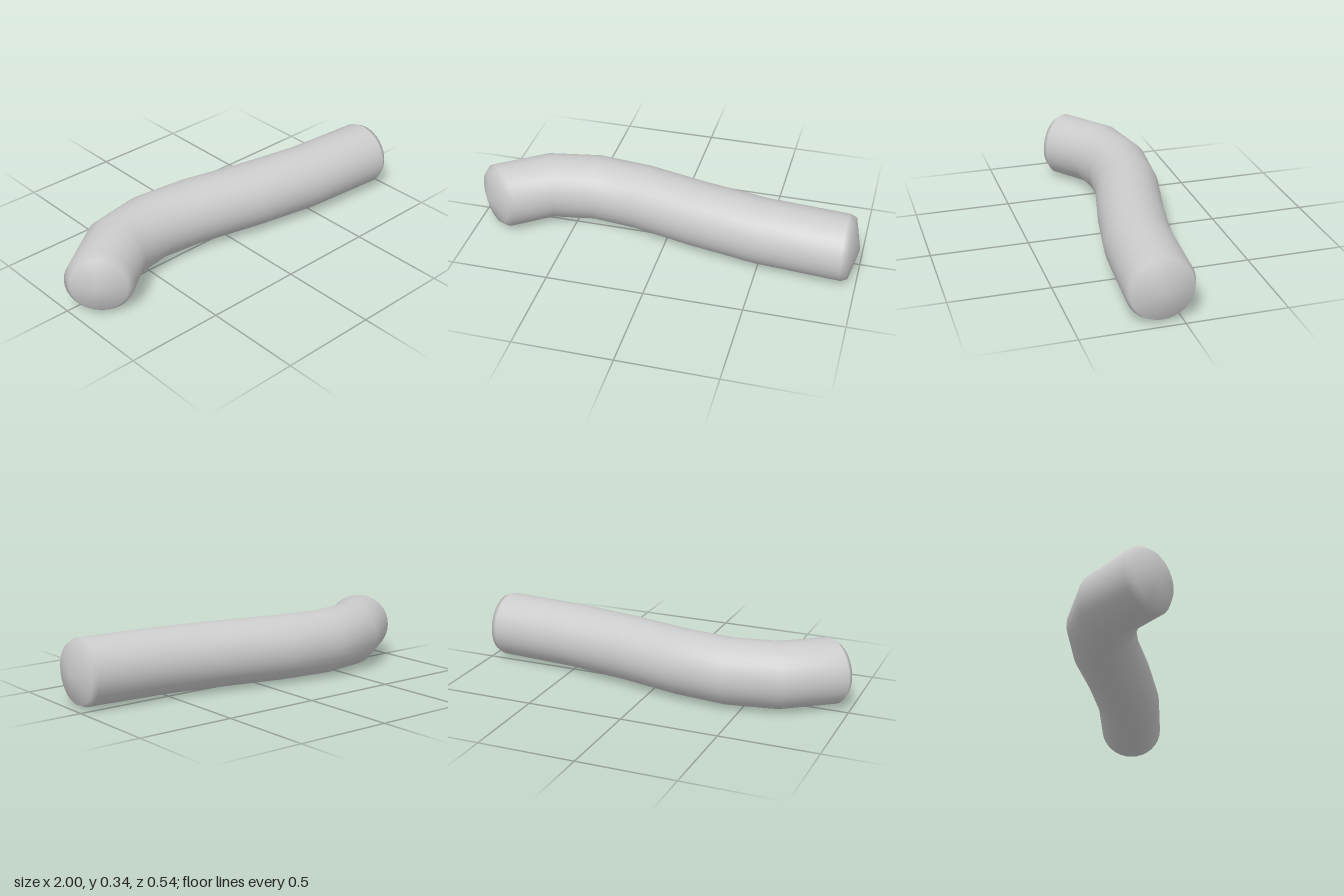
import * as THREE from 'three';

// Cross-sections along the bent rod: centre x, centre z, radius, yaw of the ring
const RINGS = [
  [-0.933, 0.155, 0, 0.81], // left cap tip
  [-0.9, 0.128, 0.14, 0.81], // left cap shoulder
  [-0.876, 0.103, 0.168, 0.81],
  [-0.655, -0.057, 0.168, 0.36],
  [-0.412, -0.1, 0.168, 0.05],
  [-0.152, -0.071, 0.168, -0.19],
  [0.163, 0.004, 0.168, -0.165],
  [0.503, 0.068, 0.168, -0.13],
  [0.928, 0.1, 0.168, -0.02],
  [0.96, 0.1, 0.154, -0.02], // right cap shoulder
  [1.0, 0.1, 0, -0.02], // right cap tip
];
const SIDES = 32;
const AXIS_Y = 0.168;

// Rings joined by quads, closed around the rod and drawn together at the tips
function rodGeometry() {
  const positions = [];
  const indices = [];
  for (const [x, z, r, yaw] of RINGS) {
    for (let i = 0; i < SIDES; i++) {
      const a = (i / SIDES) * Math.PI * 2;
      const across = Math.cos(a) * r;
      positions.push(x + across * Math.sin(yaw), AXIS_Y + Math.sin(a) * r, z + across * Math.cos(yaw));
    }
  }
  const last = RINGS.length - 2;
  for (let k = 0; k <= last; k++) {
    for (let i = 0; i < SIDES; i++) {
      const j = (i + 1) % SIDES;
      const a = k * SIDES + i, b = k * SIDES + j;
      const c = a + SIDES, d = b + SIDES;
      if (k < last) indices.push(a, c, b);
      if (k > 0) indices.push(b, c, d);
      // At the tips one triangle per side is enough
      if (k === 0) indices.splice(-3, 3, a, c, d);
      if (k === last) indices.splice(-3, 3, a, c, b);
    }
  }
  const geometry = new THREE.BufferGeometry();
  geometry.setAttribute('position', new THREE.Float32BufferAttribute(positions, 3));
  geometry.setIndex(indices);
  geometry.computeVertexNormals();
  // Tip vertices share one normal along the rod's axis
  const normals = geometry.attributes.normal;
  [[0, -1], [RINGS.length - 1, 1]].forEach(([k, sign]) => {
    const yaw = RINGS[k][3];
    for (let i = 0; i < SIDES; i++) {
      normals.setXYZ(k * SIDES + i, sign * Math.cos(yaw), 0, -sign * Math.sin(yaw));
    }
  });
  return geometry;
}

export function createModel() {
  const group = new THREE.Group();
  group.name = 'bentRod';
  const rod = new THREE.Mesh(rodGeometry(), new THREE.MeshStandardMaterial({ color: 0xcccccc }));
  rod.name = 'rod';
  group.add(rod);
  return group;
}
